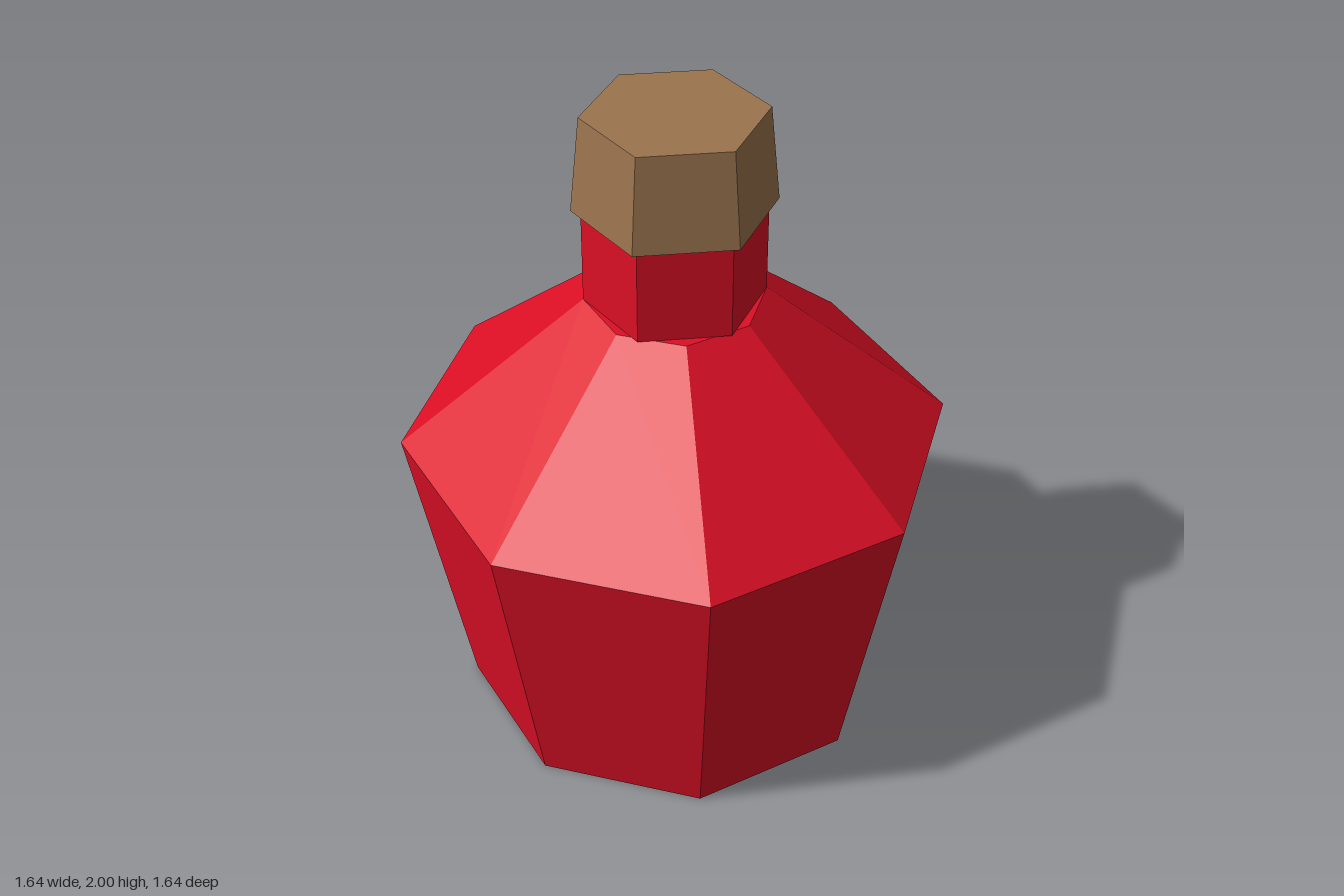
import * as THREE from 'three';

export function createModel() {
  const bottle = new THREE.Group();
  bottle.name = 'bottle';

  const redGlass = new THREE.MeshStandardMaterial({ color: 0xdc0f25, flatShading: true });
  redGlass.name = 'redGlass';
  const corkBrown = new THREE.MeshStandardMaterial({ color: 0x9b744e, flatShading: true });
  corkBrown.name = 'corkBrown';

  // Tapered prism between two heights, with corners on the x axis
  function prism(name, material, sides, y0, r0, y1, r1, open = false) {
    const geometry = new THREE.CylinderGeometry(r1, r0, y1 - y0, sides, 1, open, Math.PI / 2);
    geometry.translate(0, (y0 + y1) / 2, 0);
    const mesh = new THREE.Mesh(geometry, material);
    mesh.name = name;
    bottle.add(mesh);
  }

  // Eight-sided belly and shoulder as one faceted shell
  const profile = [[0, 0], [0.647, 0], [0.82, 0.943], [0.265, 1.413], [0, 1.413]];
  const bodyGeometry = new THREE.LatheGeometry(profile.map(([r, y]) => new THREE.Vector2(r, y)), 8);
  const body = new THREE.Mesh(bodyGeometry, redGlass);
  body.name = 'body';
  bottle.add(body);

  // Six-sided neck and stopper
  prism('neck', redGlass, 6, 1.413, 0.265, 1.75, 0.265);
  prism('stopper', corkBrown, 6, 1.71, 0.293, 2, 0.264);

  return bottle;
}
